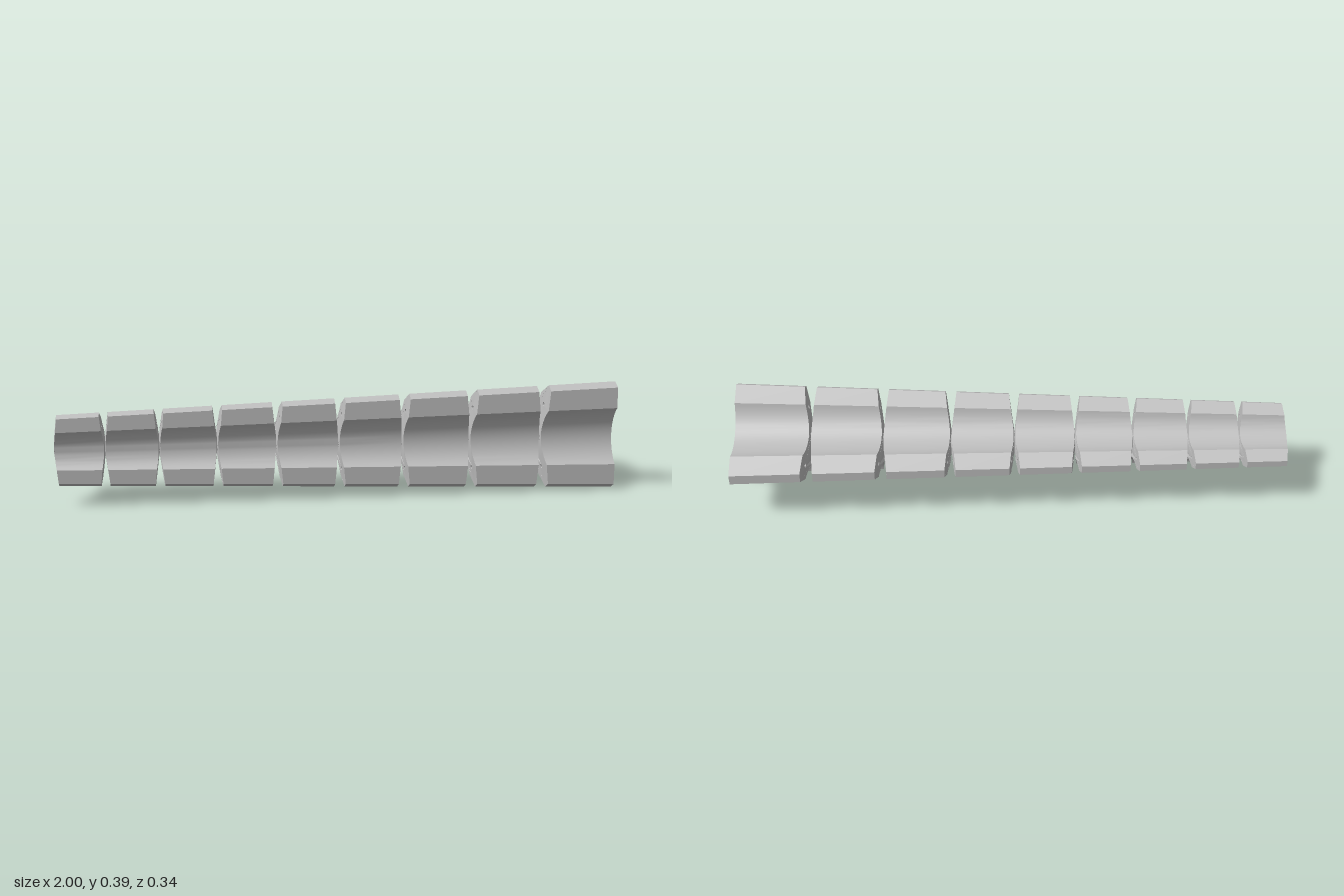
import * as THREE from 'three';
import { toCreasedNormals } from 'three/addons/utils/BufferGeometryUtils.js';

const AXIS_Y = 0.197, AXIS_Z = 0.046;
const CORE = 0.05, BORE = 0.0138, SLOPE = 0.138;
// joints between segments along the tapering body
const JOINTS = [-1, -0.826, -0.639, -0.438, -0.229, -0.008, 0.222, 0.468, 0.73, 1];
const taper = (x) => 1 + (x - 1) * 0.185;

// three-armed cross-section with scooped sides and cable holes
function crossSection() {
  const pts = [];
  const third = (Math.PI * 2) / 3;
  const R = 0.1386, half = 0.848, steps = 20;
  for (let k = 0; k < 3; k++) {
    const a = k * third;
    for (const v of [-0.018, 0.018]) {
      pts.push(new THREE.Vector2(0.217, v).rotateAround(new THREE.Vector2(), a));
    }
    const mid = a + third / 2;
    for (let i = 0; i <= steps; i++) {
      const t = mid + Math.PI + half - (2 * half * i) / steps;
      pts.push(new THREE.Vector2(
        0.2166 * Math.cos(mid) + R * Math.cos(t),
        0.2166 * Math.sin(mid) + R * Math.sin(t)));
    }
  }
  const shape = new THREE.Shape(pts);
  const hole = (x, y, r, n) => {
    const ring = [];
    for (let i = 0; i < n; i++) {
      const t = (-i / n) * Math.PI * 2;
      ring.push(new THREE.Vector2(x + r * Math.cos(t), y + r * Math.sin(t)));
    }
    shape.holes.push(new THREE.Path(ring));
  };
  hole(0, 0, CORE, 48);
  for (let k = 0; k < 3; k++) {
    hole(0.14 * Math.cos(k * third), 0.14 * Math.sin(k * third), 0.0078, 16);
  }
  return shape;
}

// one vertebra: ends slope away from the joint, so grooves open outwards
function segmentGeometry(shape, x0, x1, flatEnd) {
  const geo = new THREE.ExtrudeGeometry(shape, { depth: 1, steps: 1, bevelEnabled: false });
  const p = geo.attributes.position;
  for (let i = 0; i < p.count; i++) {
    const px = p.getX(i), py = p.getY(i), end = p.getZ(i) > 0.5;
    const base = end ? x1 : x0;
    let recess = SLOPE * taper(base) * Math.max(0, Math.hypot(px, py) - CORE);
    if (end && flatEnd) recess = 0;
    const x = end ? base - recess : base + recess;
    const s = taper(x);
    p.setXYZ(i, px * s, py * s, x);
  }
  geo.rotateY(Math.PI / 2);
  return toCreasedNormals(geo, 0.5);
}

export function createModel() {
  const model = new THREE.Group();
  model.name = 'taperedSegmentedArm';
  const grey = new THREE.MeshStandardMaterial({ color: 0xc0c0c0 });
  grey.name = 'lightGrey';

  const add = (geo, name) => {
    const mesh = new THREE.Mesh(geo, grey);
    mesh.name = name;
    mesh.position.set(0, AXIS_Y, AXIS_Z);
    model.add(mesh);
  };

  const shape = crossSection();
  for (let i = 0; i < JOINTS.length - 1; i++) {
    add(segmentGeometry(shape, JOINTS[i], JOINTS[i + 1], i === JOINTS.length - 2), `segment${i + 1}`);
  }

  // hollow core joining the segments
  const profile = [[BORE, -1], [CORE * taper(-1), -1], [CORE, 1], [BORE, 1], [BORE, -1]]
    .map(([r, y]) => new THREE.Vector2(r, y));
  const core = new THREE.LatheGeometry(profile, 48);
  core.rotateZ(-Math.PI / 2);
  add(toCreasedNormals(core, 0.5), 'hollowCore');
  return model;
}
